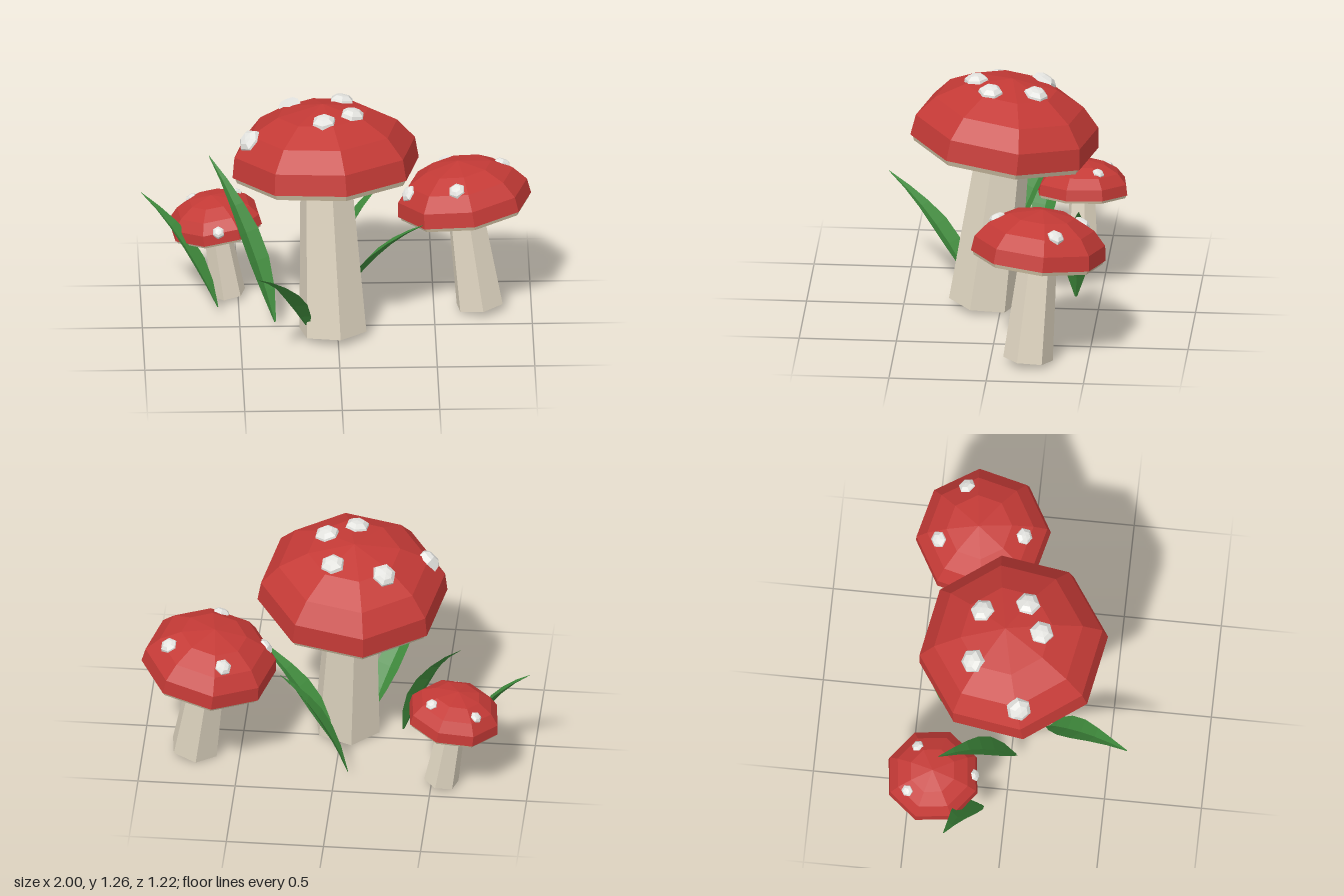
import * as THREE from 'three';

const paint = (color, side = THREE.FrontSide) =>
  new THREE.MeshStandardMaterial({ color, flatShading: true, side });
const RED = paint(0xc43a36);
const STEM = paint(0xddd3bf);
const GILL = paint(0xcabb9f);
const WHITE = paint(0xe4e4e0);
const GREEN = paint(0x3f8a3c, THREE.DoubleSide);
const UP = new THREE.Vector3(0, 1, 0);
const points = (list) => list.map(([x, y]) => new THREE.Vector2(x, y));

// Cap and spot profiles for a full-size mushroom, from rim to apex
const CAP = [[0.49, 0], [0.475, 0.11], [0.386, 0.215], [0.238, 0.298], [0, 0.345]];
const SPOT = [[0.068, -0.02], [0.06, 0.012], [0.036, 0.03], [0, 0.034]];

function addMesh(parent, name, geometry, material) {
  const mesh = new THREE.Mesh(geometry, material);
  mesh.name = name;
  parent.add(mesh);
  return mesh;
}

// Finds the place and normal on the eight-sided cap above local x, z
function onCap(x, z, turn) {
  const angle = Math.atan2(x, z);
  const step = Math.PI / 4;
  const face = turn + (Math.floor((angle - turn) / step) + 0.5) * step;
  const rho = Math.hypot(x, z) * Math.cos(angle - face) / Math.cos(step / 2);
  const i = Math.max(1, CAP.findIndex(([r]) => r <= rho));
  const [r0, y0] = CAP[i - 1], [r1, y1] = CAP[i];
  const y = y0 + (y1 - y0) * (r0 - rho) / (r0 - r1);
  const out = y1 - y0, rise = (r0 - r1) * Math.cos(step / 2);
  const normal = new THREE.Vector3(Math.sin(face) * out, rise, Math.cos(face) * out).normalize();
  return { position: new THREE.Vector3(x, y, z), normal };
}

// One leaning mushroom: six-sided stem, eight-sided cap, gill disc and spots
function mushroom({ name, base, lean, turn, size, height, spots }) {
  const group = new THREE.Group();
  group.name = name;
  group.position.set(...base);
  group.quaternion.setFromUnitVectors(UP, new THREE.Vector3(lean[0], 1, lean[1]).normalize());

  const stem = new THREE.CylinderGeometry(0.135 * size, 0.18 * size, height, 6);
  addMesh(group, 'stem', stem.rotateY(turn).translate(0, height / 2, 0), STEM);

  const head = new THREE.Group();
  head.name = 'head';
  head.position.y = height;
  head.scale.setScalar(size);
  group.add(head);
  addMesh(head, 'cap', new THREE.LatheGeometry(points(CAP), 8).rotateY(turn), RED);
  const disc = new THREE.CylinderGeometry(0.478, 0.468, 0.03, 8);
  addMesh(head, 'gillDisc', disc.rotateY(turn).translate(0, -0.015, 0), GILL);

  spots.forEach(([x, z], i) => {
    const spot = addMesh(head, 'spot', new THREE.LatheGeometry(points(SPOT), 6).rotateY(i), WHITE);
    const { position, normal } = onCap(x, z, turn);
    spot.position.copy(position);
    spot.quaternion.setFromUnitVectors(UP, normal);
  });
  return group;
}

// A curved blade, folded along its middle vein
function leaf(base, tip) {
  const a = new THREE.Vector3(...base), b = new THREE.Vector3(...tip);
  const d = b.clone().sub(a);
  const bend = new THREE.Vector3(a.x + d.x * 0.33, a.y + d.y * 0.64, a.z + d.z * 0.33);
  const curve = new THREE.QuadraticBezierCurve3(a, bend, b);
  const side = new THREE.Vector3(d.z, 0, -d.x).normalize();
  const widths = [0.006, 0.045, 0.066, 0.064, 0.045, 0.023, 0.002];
  const verts = [], index = [];
  widths.forEach((w, i) => {
    const t = i / (widths.length - 1);
    const p = curve.getPoint(t);
    const normal = new THREE.Vector3().crossVectors(curve.getTangent(t), side);
    if (normal.y < 0) normal.negate();
    for (const s of [-1, 0, 1]) {
      const v = p.clone().addScaledVector(side, s * w);
      v.addScaledVector(normal, (Math.abs(s) - 0.5) * w * 0.4);
      verts.push(v.x, v.y, v.z);
    }
    if (i === 0) return;
    for (const k of [0, 1]) {
      const n = i * 3 + k;
      index.push(n - 3, n - 2, n, n - 2, n + 1, n);
    }
  });
  const geometry = new THREE.BufferGeometry();
  geometry.setAttribute('position', new THREE.Float32BufferAttribute(verts, 3));
  geometry.setIndex(index);
  geometry.computeVertexNormals();
  return geometry;
}

export function createModel() {
  const model = new THREE.Group();
  model.name = 'mushroomCluster';

  model.add(
    mushroom({
      name: 'largeMushroom', base: [-0.025, 0.022, 0.092], lean: [-0.04, -0.12],
      turn: 0.2, size: 1, height: 0.88,
      spots: [[-0.17, -0.162], [0.1, -0.132], [0.15, 0.098], [0, 0.183], [-0.385, 0.094]],
    }),
    mushroom({
      name: 'mediumMushroom', base: [0.735, 0.021, -0.195], lean: [-0.14, -0.087],
      turn: 0.13, size: 0.71, height: 0.55,
      spots: [[-0.1, -0.29], [0.31, -0.125], [-0.03, 0.325], [-0.385, 0.1]],
    }),
    mushroom({
      name: 'smallMushroom', base: [-0.55, 0.016, -0.372], lean: [-0.16, 0],
      turn: -0.28, size: 0.5, height: 0.39,
      spots: [[-0.22, -0.24], [0.25, -0.18], [0.03, 0.43]],
    }),
  );

  // Leaves, each from base to tip
  [
    [[-0.32, 0.04, 0.03], [-0.65, 0.81, -0.34]],
    [[-0.15, 0.06, 0.16], [-0.43, 0.56, 0.61]],
    [[-0.61, 0.05, -0.13], [-1, 0.635, -0.28]],
    [[-0.07, 0.04, -0.38], [0.275, 0.65, -0.42]],
    [[0.02, 0.07, -0.17], [0.45, 0.58, 0.02]],
  ].forEach(([base, tip]) => addMesh(model, 'leaf', leaf(base, tip), GREEN));

  return model;
}
